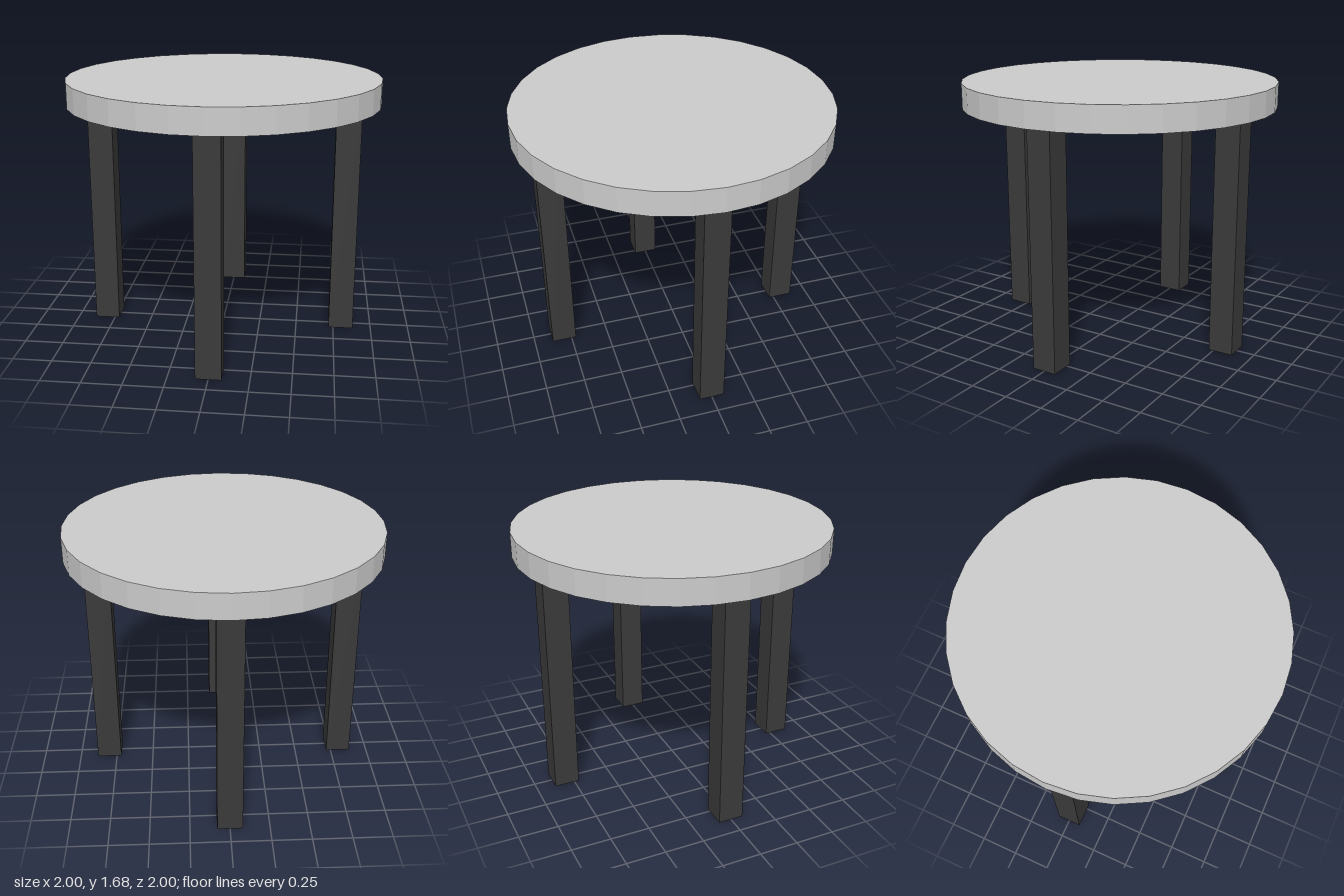
import * as THREE from 'three';

const LEG_HEIGHT = 1.52;
const LEG_WIDTH = 0.16;
const LEG_RADIUS = 0.8;
const TOP_THICKNESS = 0.16;

export function createModel() {
  const table = new THREE.Group();
  table.name = 'roundTable';

  const topMaterial = new THREE.MeshStandardMaterial({ color: 0xcccccc, flatShading: true });
  const legMaterial = new THREE.MeshStandardMaterial({ color: 0x3a3a3a });

  // Faceted round top
  const top = new THREE.Mesh(new THREE.CylinderGeometry(1, 1, TOP_THICKNESS, 32), topMaterial);
  top.name = 'tableTop';
  top.position.y = LEG_HEIGHT + TOP_THICKNESS / 2;
  table.add(top);

  // Four square legs, one on each side
  const legGeometry = new THREE.BoxGeometry(LEG_WIDTH, LEG_HEIGHT, LEG_WIDTH);
  const legs = { frontLeg: [0, 1], backLeg: [0, -1], leftLeg: [1, 0], rightLeg: [-1, 0] };
  for (const [name, [x, z]] of Object.entries(legs)) {
    const leg = new THREE.Mesh(legGeometry, legMaterial);
    leg.name = name;
    leg.position.set(x * LEG_RADIUS, LEG_HEIGHT / 2, z * LEG_RADIUS);
    table.add(leg);
  }

  return table;
}
